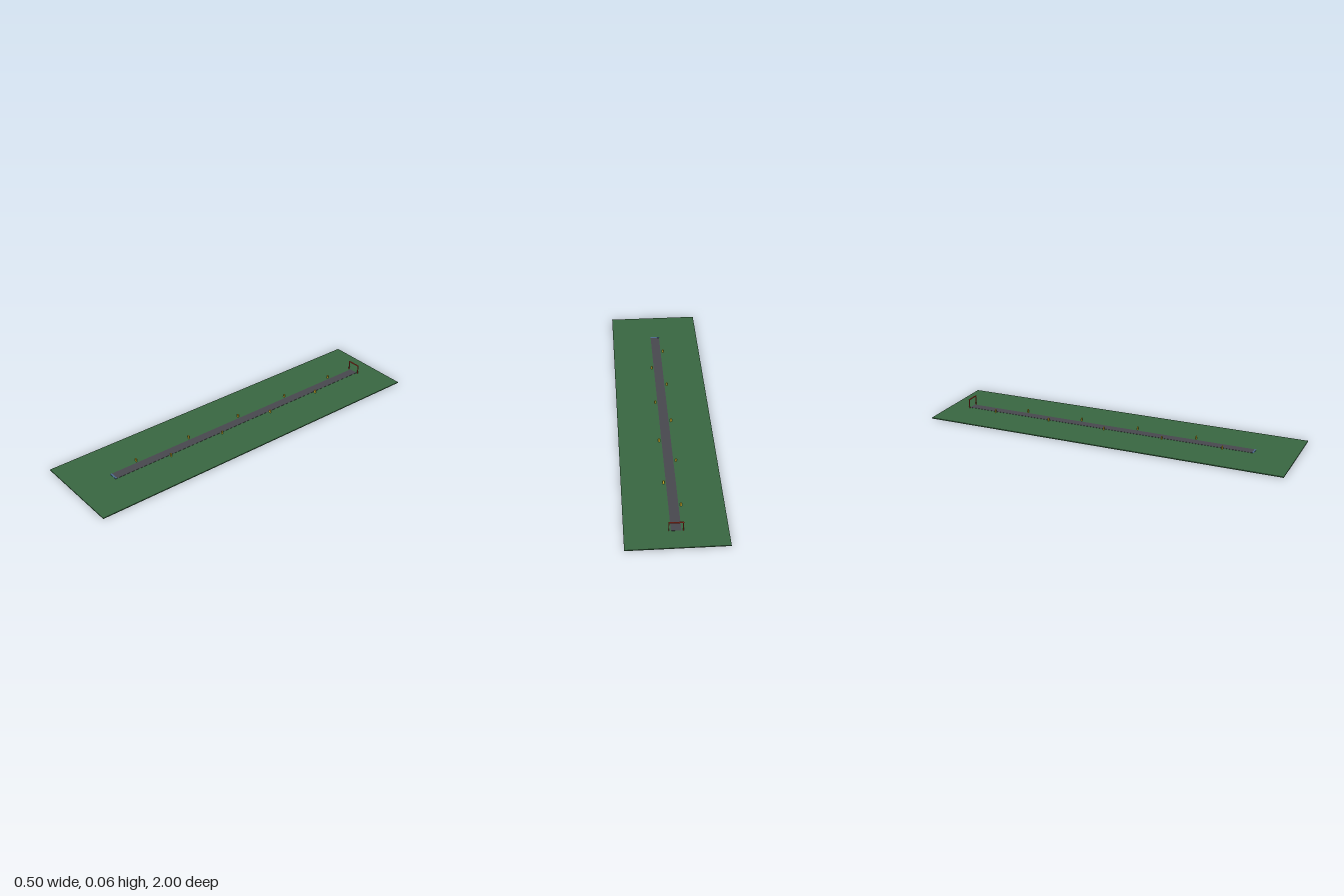
import * as THREE from 'three';

const GROUND_TOP = 0.005;

export function createModel() {
  const model = new THREE.Group();
  model.name = 'raceTrack';

  const material = (color) => new THREE.MeshStandardMaterial({ color });
  const grass = material(0x386640);
  const asphalt = material(0x47474d);
  const blue = material(0x4a6a8a);
  const yellow = material(0xe0c030);
  const red = material(0xd0402c);

  // Box placed by the centre of its base
  function box(name, parent, mat, [w, h, d], [x, y, z]) {
    const mesh = new THREE.Mesh(new THREE.BoxGeometry(w, h, d), mat);
    mesh.name = name;
    mesh.position.set(x, y + h / 2, z);
    parent.add(mesh);
    return mesh;
  }

  // Ground slab, straight road and start line
  box('ground', model, grass, [0.5, GROUND_TOP, 2], [0, 0, 0]);
  box('road', model, asphalt, [0.05, 0.001, 1.667], [0, GROUND_TOP, -0.053]);
  box('startLine', model, blue, [0.05, 0.002, 0.01], [0, GROUND_TOP, 0.78]);

  // Roadside markers, alternating between the two sides
  const markers = new THREE.Group();
  markers.name = 'markers';
  for (let i = 0; i < 9; i++) {
    const side = i % 2 ? 1 : -1;
    box('marker', markers, yellow, [0.009, 0.018, 0.005], [side * 0.0375, GROUND_TOP, 0.62 - i * 0.1668]);
  }
  model.add(markers);

  // Finish gate: two posts and a crossbeam
  const gate = new THREE.Group();
  gate.name = 'finishGate';
  gate.position.set(0, GROUND_TOP, -0.885);
  for (const side of [-1, 1]) {
    box('gatePost', gate, red, [0.004, 0.05, 0.004], [side * 0.035, 0, 0]);
  }
  box('gateBeam', gate, red, [0.075, 0.005, 0.005], [0, 0.048, 0]);
  model.add(gate);

  return model;
}
